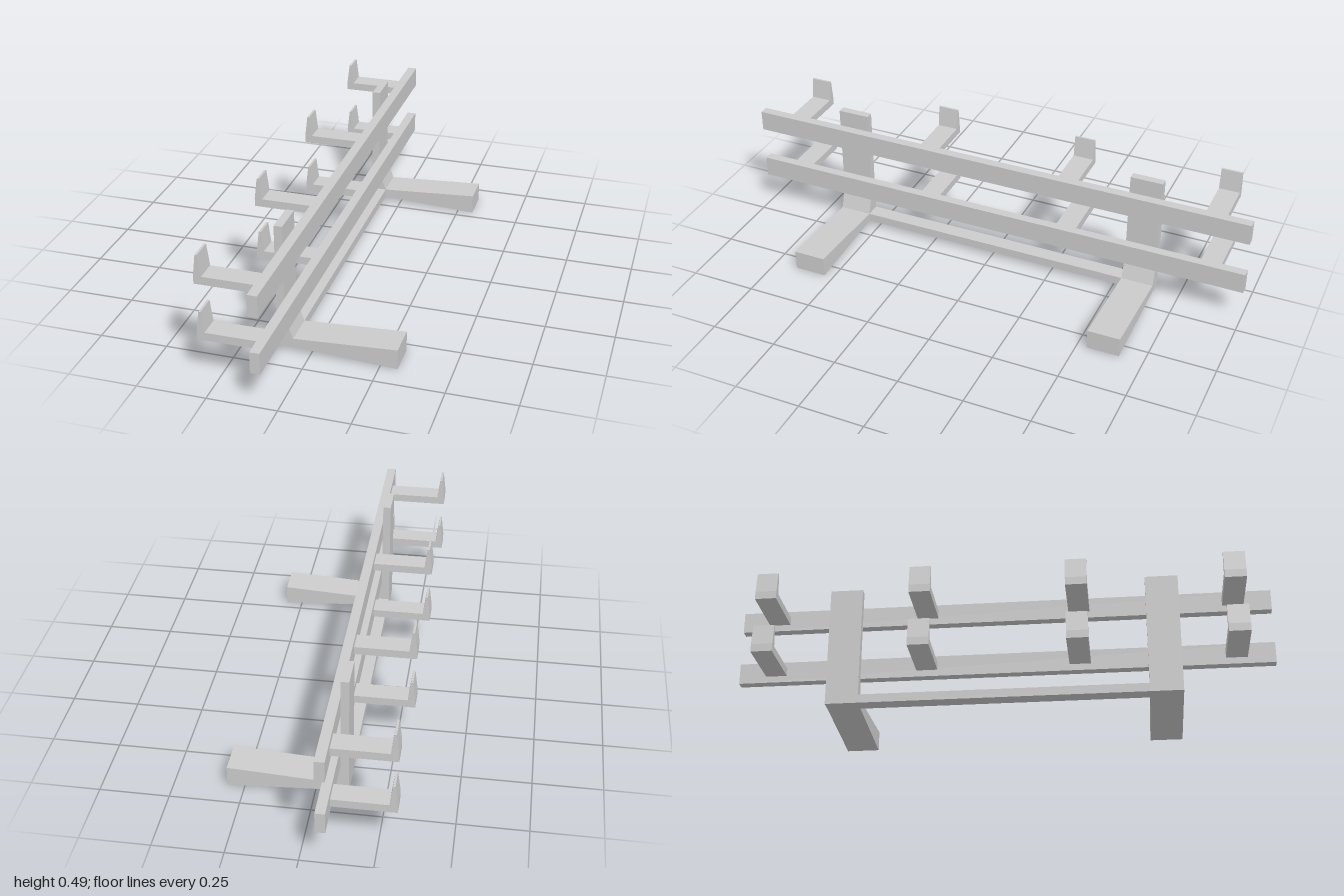
import * as THREE from 'three';

const material = new THREE.MeshStandardMaterial({ color: 0xcccccc, flatShading: true });

// Extrude an x-y outline along z, centred on the given z.
function extruded(name, points, depth, y, z) {
  const shape = new THREE.Shape(points.map(([px, py]) => new THREE.Vector2(px, py)));
  const geometry = new THREE.ExtrudeGeometry(shape, { depth, bevelEnabled: false });
  geometry.translate(0, 0, -depth / 2);
  const mesh = new THREE.Mesh(geometry, material);
  mesh.name = name;
  mesh.position.set(0, y, z);
  return mesh;
}

// Box given by its x and y limits and its length along z.
function bar(name, x0, x1, y0, y1, length) {
  const mesh = new THREE.Mesh(new THREE.BoxGeometry(x1 - x0, y1 - y0, length), material);
  mesh.name = name;
  mesh.position.set((x0 + x1) / 2, (y0 + y1) / 2, 0);
  return mesh;
}

export function createModel() {
  const model = new THREE.Group();
  model.name = 'rack';

  // Upright posts with a flared foot
  const postOutline = [
    [-0.12, 0.022], [-0.062, 0.022], [0.312, 0], [0.312, 0.076],
    [-0.062, 0.055], [-0.09, 0.135], [-0.09, 0.49], [-0.12, 0.49],
  ];
  for (const z of [-0.598, 0.598]) model.add(extruded('postWithFoot', postOutline, 0.123, 0, z));

  // Low crossbar between the posts
  model.add(bar('crossbar', -0.12, -0.062, 0.022, 0.055, 1.075));

  // Two tiers: a long rail with four upturned arms each
  const armOutline = [
    [-0.314, 0], [-0.09, 0], [-0.09, 0.03], [-0.286, 0.03],
    [-0.296, 0.109], [-0.304, 0.109], [-0.314, 0.03],
  ];
  for (const y of [0.156, 0.37]) {
    model.add(bar('rail', -0.09, -0.055, y - 0.025, y + 0.055, 2));
    for (const z of [-0.858, -0.286, 0.286, 0.858]) {
      model.add(extruded('hookArm', armOutline, 0.079, y, z));
    }
  }
  return model;
}
